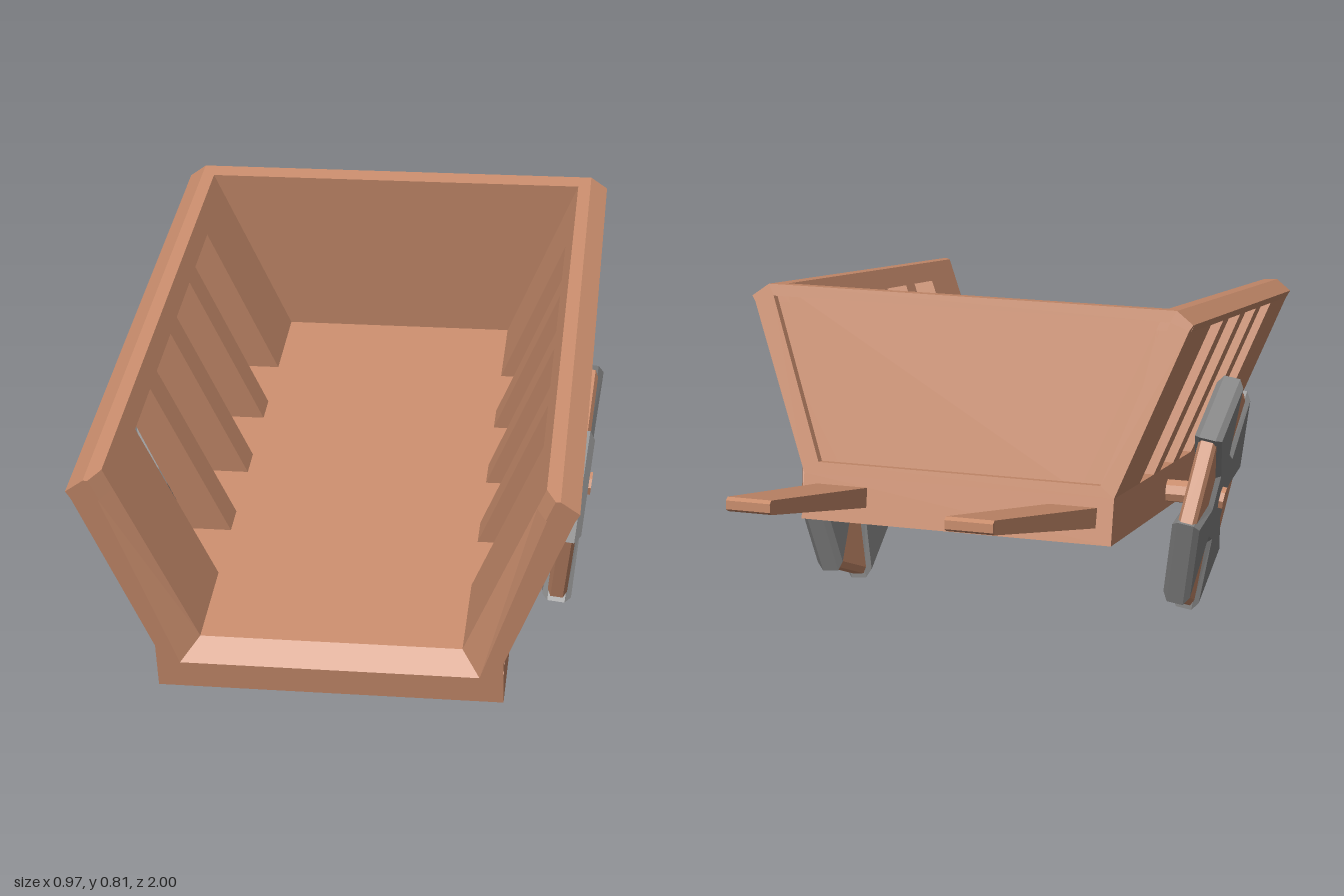
import * as THREE from 'three';

const wood = new THREE.MeshStandardMaterial({ color: 0xc88c6c, flatShading: true });
const iron = new THREE.MeshStandardMaterial({ color: 0x868686, flatShading: true });

// Tub space: x across, y = 0 (bottom) to 1 (rim), z = 0 (front) to -1 (back),
// leaned into the tilted tub.
const lean = new THREE.Matrix4().set(
  1, 0, 0, 0.008,
  0, 0.467, -0.235, 0.11,
  0, 0.12, 1.27, 0.88,
  0, 0, 0, 1);

// Solid through cross-sections [z, counter-clockwise [x, y] points], front to back
function loft(stations) {
  const n = stations[0][1].length;
  const pos = [], index = [];
  for (const [z, pts] of stations) for (const [x, y] of pts) pos.push(x, y, z);
  for (let k = 0; k < stations.length - 1; k++) {
    for (let i = 0; i < n; i++) {
      const a = k * n + i, b = k * n + (i + 1) % n;
      index.push(a, a + n, b, b, a + n, b + n);
    }
  }
  const cap = (k) => THREE.ShapeUtils.triangulateShape(
    stations[k][1].map(([x, y]) => new THREE.Vector2(x, y)), []);
  const last = stations.length - 1;
  for (const [a, b, c] of cap(0)) index.push(a, b, c);
  for (const [a, b, c] of cap(last)) index.push(last * n + a, last * n + c, last * n + b);
  const g = new THREE.BufferGeometry();
  g.setAttribute('position', new THREE.Float32BufferAttribute(pos, 3));
  g.setIndex(index);
  const flat = g.toNonIndexed();
  flat.computeVertexNormals();
  return flat;
}

function add(parent, name, geometry, material = wood) {
  const mesh = new THREE.Mesh(geometry, material);
  mesh.name = name;
  parent.add(mesh);
  return mesh;
}

const rect = (x0, x1, y0, y1) => [[x0, y0], [x1, y0], [x1, y1], [x0, y1]];
const mirror = (pts) => pts.map(([x, y]) => [-x, y]).reverse();
const polygon = (Type, pts) => new Type(pts.map(([x, y]) => new THREE.Vector2(x, y)));

// Leaning wall profile: inner and outer x at height t
const inner = (t) => 0.25 + (t - 0.2) * 0.194;
const outer = (t) => 0.33 + (t - 0.2) * 0.18;

function makeTub() {
  const tub = new THREE.Group();
  tub.name = 'tub';
  const part = (name, stations) => {
    const g = loft(stations).applyMatrix4(lean);
    g.computeVertexNormals();
    return add(tub, name, g);
  };

  // Floor with a bevelled front lip
  part('floor', [
    [0, rect(-0.33, 0.33, 0, 0.12)],
    [-0.03, rect(-0.33, 0.33, 0, 0.2)],
    [-1, rect(-0.33, 0.33, 0, 0.2)]]);

  // Side walls: front panel, three slats, rear panel and a top rail
  const wall = [[inner(0.2), 0.2], [outer(0.2), 0.2], [outer(0.92), 0.92], [inner(0.92), 0.92]];
  const front = [[inner(0.2) + 0.035, 0.12], [0.33, 0.12], [0.33, 0.2],
    [outer(0.92), 0.92], [inner(0.92) + 0.02, 0.92]];
  const behindFront = [[inner(0.2), 0.2], [0.329, 0.2], [0.33, 0.201],
    [outer(0.92), 0.92], [inner(0.92), 0.92]];
  const rail = (bevel) => [[inner(0.91) + bevel, 0.91], [outer(0.91), 0.91],
    [0.467, 0.945], [0.432, 1], [inner(1) + bevel, 1]];
  for (const [side, flip] of [['left', (p) => p], ['right', mirror]]) {
    part(side + 'FrontPanel', [[0, flip(front)], [-0.03, flip(behindFront)], [-0.19, flip(behindFront)]]);
    for (let i = 0; i < 3; i++) {
      const s = 0.305 + i * 0.167;
      part(side + 'Slat', [[-s, flip(wall)], [-s - 0.053, flip(wall)]]);
    }
    part(side + 'RearPanel', [[-0.806, flip(wall)], [-0.984, flip(wall)]]);
    part(side + 'Rail', [[0, flip(rail(0.018))], [-0.03, flip(rail(0))], [-0.984, flip(rail(0))]]);
  }

  // Back board with a raised frame around its outside
  part('backBoard', [-0.965, -0.984].map((z) =>
    [z, [[-0.26, 0.2], [0.26, 0.2], [0.415, 1], [-0.415, 1]]]));
  const frame = polygon(THREE.Shape, [[-0.33, 0.2], [0.33, 0.2], [outer(0.92), 0.92],
    [0.467, 0.945], [0.432, 1], [-0.432, 1], [-0.467, 0.945], [-outer(0.92), 0.92]]);
  frame.holes.push(polygon(THREE.Path, [[-0.3, 0.25], [-0.42, 0.95], [0.42, 0.95], [0.3, 0.25]]));
  const frameGeo = new THREE.ExtrudeGeometry(frame, { depth: 0.018, bevelEnabled: false });
  frameGeo.translate(0, 0, -1.001).applyMatrix4(lean);
  frameGeo.computeVertexNormals();
  add(tub, 'backFrame', frameGeo);
  return tub;
}

// Eight-sided wheel: four iron arms flaring to the rim over a thinner wooden disc
function makeWheel(name) {
  const wheel = new THREE.Group();
  wheel.name = name;
  const at = (i, r) => [r * Math.cos(i * Math.PI / 4 - 0.035), r * Math.sin(i * Math.PI / 4 - 0.035)];
  const disc = [], arms = [];
  for (let i = 0; i < 8; i++) {
    disc.push(at(i, 0.252));
    if (i % 2 === 0) arms.push(at(i, 0.1), at(i, 0.256), at(i + 1, 0.256), at(i + 1, 0.1));
  }
  const slab = (pts, depth, bevel) => new THREE.ExtrudeGeometry(polygon(THREE.Shape, pts), {
    depth, bevelEnabled: true, bevelThickness: bevel, bevelSize: 0.014, bevelSegments: 1,
  }).translate(0, 0, -depth / 2).rotateY(-Math.PI / 2);
  add(wheel, 'woodDisc', slab(disc, 0.026, 0.007));
  add(wheel, 'ironArms', slab(arms, 0.036, 0.012), iron);
  const hub = new THREE.CylinderGeometry(0.026, 0.026, 0.08, 8).rotateZ(Math.PI / 2);
  add(wheel, 'hub', hub);
  return wheel;
}

export function createModel() {
  const cart = new THREE.Group();
  cart.name = 'handcart';
  cart.add(makeTub());

  // Cambered wheels and their axle
  for (const [name, x, camber] of [['leftWheel', 0.433, -0.11], ['rightWheel', -0.412, 0.165]]) {
    const wheel = makeWheel(name);
    wheel.position.set(x, 0.277, 0.185);
    wheel.rotation.z = camber;
    cart.add(wheel);
  }
  const axle = add(cart, 'axle', new THREE.CylinderGeometry(0.026, 0.026, 0.84, 8).rotateZ(Math.PI / 2));
  axle.position.set(0.01, 0.28, 0.18);

  // Tapering push handles
  for (const [name, base, tip] of [
    ['leftHandle', [0.2, 0.31], [0.175, 0.26]],
    ['rightHandle', [-0.29, -0.19], [-0.245, -0.155]]]) {
    add(cart, name, loft([
      [-0.35, rect(...base, 0.368, 0.412)],
      [-0.99, rect(...tip, 0.568, 0.596)],
      [-1, rect(...tip, 0.575, 0.592)]]));
  }
  return cart;
}
